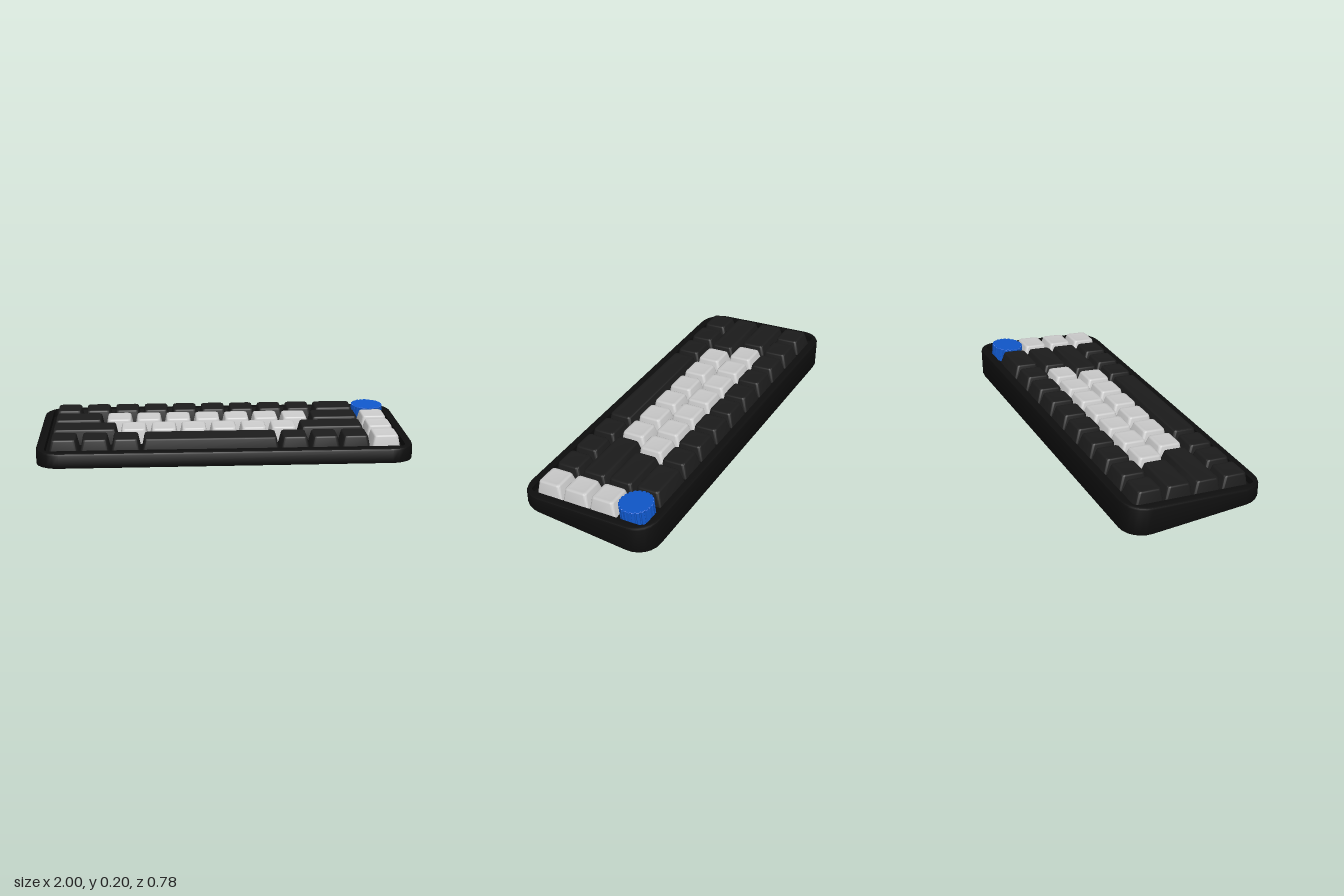
import * as THREE from 'three';
import { toCreasedNormals } from 'three/addons/utils/BufferGeometryUtils.js';

const TILT = 0.1125;      // slope of the top, in radians
const MID_Y = 0.124;      // height of the top at z = 0
const PITCH = 0.1627;     // spacing of one key unit
const DEPTH = 0.036;      // depth of the key well
const KEY_TOP = 0.044;    // key height above the case rim
const CORNER_STEPS = 6;

// Closed skin over rounded-rectangle rings { w, d, r, y }, listed from the bottom up;
// w and d are half sizes, and y is a number or a function of z.
function loft(rings, crease = 0.6) {
  const pos = [], index = [];
  const n = 4 * (CORNER_STEPS + 1);
  const height = (ring, z) => (typeof ring.y === 'function' ? ring.y(z) : ring.y);
  for (const ring of rings) {
    for (let q = 0; q < 4; q++) {
      const sx = q === 0 || q === 3 ? 1 : -1;
      const sz = q < 2 ? 1 : -1;
      for (let s = 0; s <= CORNER_STEPS; s++) {
        const a = (q + s / CORNER_STEPS) * Math.PI / 2;
        const x = sx * (ring.w - ring.r) + ring.r * Math.cos(a);
        const z = sz * (ring.d - ring.r) + ring.r * Math.sin(a);
        pos.push(x, height(ring, z), z);
      }
    }
  }
  const last = (rings.length - 1) * n;
  const bottom = rings.length * n, top = bottom + 1;
  pos.push(0, height(rings[0], 0), 0, 0, height(rings[rings.length - 1], 0), 0);
  for (let j = 0; j < n; j++) {
    const k = (j + 1) % n;
    for (let i = 0; i < rings.length - 1; i++) {
      const a = i * n + j, b = i * n + k;
      index.push(a, a + n, b, b, a + n, b + n);
    }
    index.push(bottom, j, k, top, last + k, last + j);
  }
  const geo = new THREE.BufferGeometry();
  geo.setAttribute('position', new THREE.Float32BufferAttribute(pos, 3));
  geo.setIndex(index);
  return toCreasedNormals(geo, crease);
}

// Wedge case with softened edges and a sunken key well
function caseGeometry() {
  const slope = (dy) => (z) => MID_Y + dy - z * Math.tan(TILT);
  const outer = (inset, y) => ({ w: 1 - inset, d: 0.39 - inset, r: 0.125 - inset, y });
  const well = (y) => ({ w: 0.953, d: 0.343, r: 0.03, y });
  return loft([
    outer(0.012, 0), outer(0.0035, 0.0035), outer(0, 0.012),
    outer(0, slope(-0.012)), outer(0.0035, slope(-0.0035)), outer(0.012, slope(0)),
    well(slope(0)), well(slope(-DEPTH)),
  ]);
}

// Tapered keycap, "units" wide, with rounded shoulders and a slightly dished top
function keyGeometry(units) {
  const w = units * PITCH / 2 - 0.0035, d = PITCH / 2 - 0.0035;
  const ring = (inset, r, y) => ({ w: w - inset, d: d - inset, r, y });
  return loft([
    ring(0, 0.012, -DEPTH),
    ring(0.013, 0.016, KEY_TOP - 0.009),
    ring(0.0155, 0.016, KEY_TOP - 0.003),
    ring(0.020, 0.015, KEY_TOP),
    ring(0.032, 0.012, KEY_TOP - 0.0015),
    ring(0.048, 0.008, KEY_TOP - 0.0025),
  ], 0.75);
}

// Knurled dial standing on the well floor
function knobGeometry() {
  const ridges = 22, points = [];
  for (let i = 0; i < ridges; i++) {
    [[0, 0.089], [0.55, 0.089], [0.68, 0.083], [0.87, 0.083]].forEach(([t, r]) => {
      const a = (i + t) / ridges * Math.PI * 2;
      points.push(new THREE.Vector2(r * Math.cos(a), r * Math.sin(a)));
    });
  }
  const bevel = 0.002;
  const geo = new THREE.ExtrudeGeometry(new THREE.Shape(points), {
    depth: DEPTH + KEY_TOP - 2 * bevel,
    bevelThickness: bevel, bevelSize: bevel, bevelOffset: -bevel, bevelSegments: 1,
  });
  geo.rotateX(-Math.PI / 2);
  geo.translate(0, bevel - DEPTH, 0);
  return geo;
}

export function createModel() {
  const model = new THREE.Group();
  model.name = 'keyboard';
  const paint = (color) => new THREE.MeshStandardMaterial({ color });
  const dark = paint(0x1c1c1c), light = paint(0xcccccc);
  const add = (parent, name, geo, mat, x = 0, z = 0) => {
    const mesh = new THREE.Mesh(geo, mat);
    mesh.name = name;
    mesh.position.set(x, 0, z);
    parent.add(mesh);
  };

  add(model, 'case', caseGeometry(), paint(0x0e0e0e));

  // Everything on the sloped top lives in one tilted group
  const deck = new THREE.Group();
  deck.name = 'keys';
  deck.position.y = MID_Y;
  deck.rotation.x = TILT;
  model.add(deck);

  // Rows from back to front: [width in units, count, light?]; width 0 marks the knob
  const rows = [
    [[1, 9], [1.5, 1], [0, 1]],
    [[1.75, 1], [1, 7, true], [1.75, 1], [1, 1, true]],
    [[2.25, 1], [1, 6, true], [2.25, 1], [1, 1, true]],
    [[1, 3], [4.5, 1], [1, 3], [1, 1, true]],
  ];
  const cache = {};
  rows.forEach((row, r) => {
    let x = -11.5 / 2 * PITCH;
    const z = (r - 1.5) * PITCH;
    for (const [units, count, isLight] of row) {
      for (let i = 0; i < count; i++) {
        const width = (units || 1) * PITCH;
        if (units === 0) {
          add(deck, 'knob', knobGeometry(), paint(0x1058cc), x + width / 2, z);
        } else {
          cache[units] ??= keyGeometry(units);
          const name = units > 4 ? 'spaceBar' : isLight ? 'lightKey' : 'darkKey';
          add(deck, name, cache[units], isLight ? light : dark, x + width / 2, z);
        }
        x += width;
      }
    }
  });
  return model;
}
